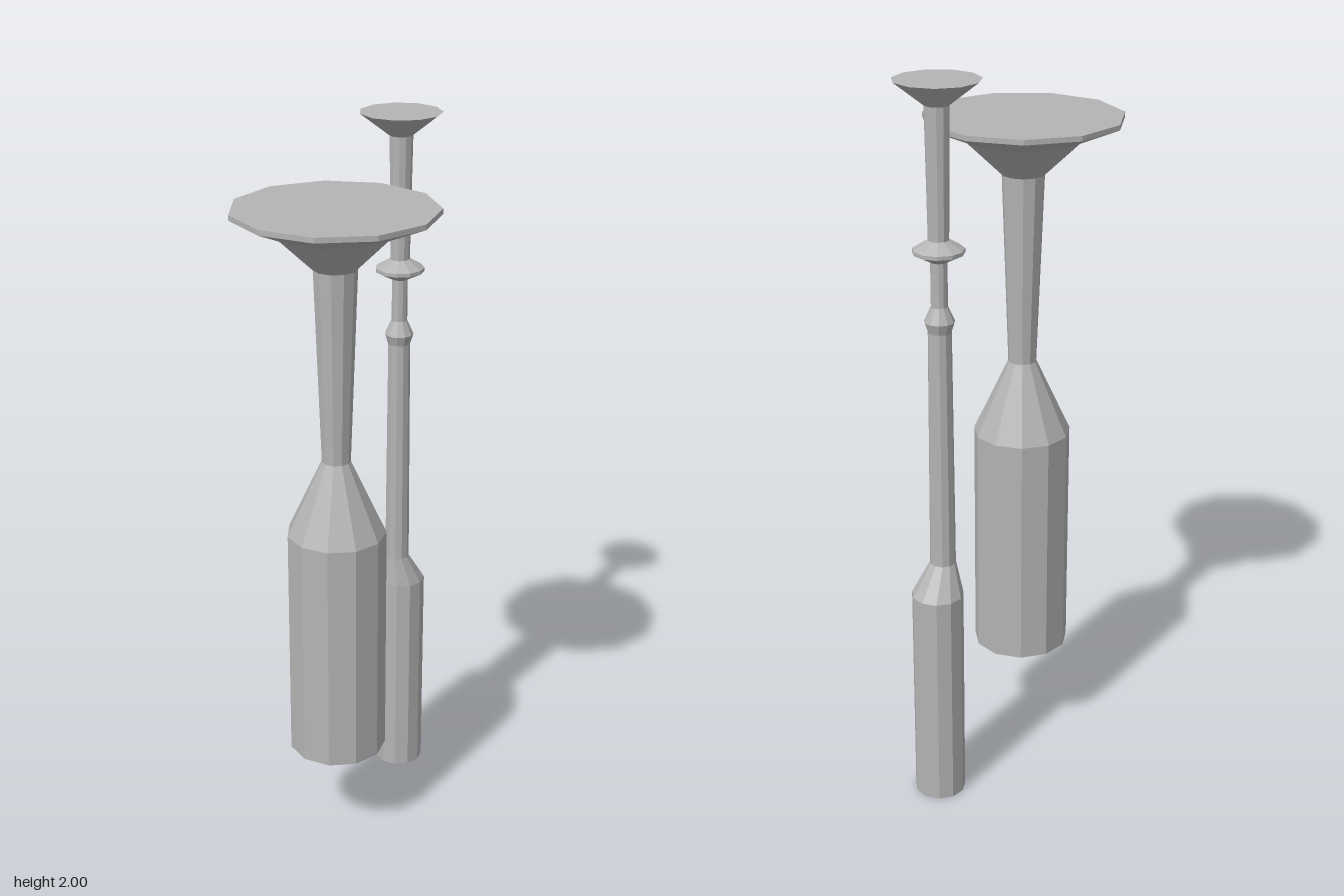
import * as THREE from 'three';

const SIDES = 11;

// Stacked rings, each [radius, height, z centre], closed at both ends.
function turned(name, rings, material) {
  const first = rings[0], last = rings[rings.length - 1];
  const all = [[0, first[1], first[2]], ...rings, [0, last[1], last[2]]];
  const geo = new THREE.LatheGeometry(
    all.map(([r, y]) => new THREE.Vector2(r, y)), SIDES, Math.PI);
  // Slide every ring to its own centre; lathe vertices run along the profile.
  const pos = geo.attributes.position;
  for (let i = 0; i < pos.count; i++) pos.setZ(i, pos.getZ(i) + all[i % all.length][2]);
  const flat = geo.toNonIndexed();
  flat.computeVertexNormals();
  const mesh = new THREE.Mesh(flat, material);
  mesh.name = name;
  return mesh;
}

export function createModel() {
  const model = new THREE.Group();
  model.name = 'stacks';
  const grey = new THREE.MeshStandardMaterial({ color: 0xb4b4b4, flatShading: true });
  grey.name = 'grey';

  // Large front stack: barrel, tapered shoulder, flaring neck, wide dish
  const zf = 0.123;
  model.add(turned('largeStack', [
    [0.135, 0.285, zf], [0.135, 0.945, zf],
    [0.039, 1.153, zf], [0.058, 1.68, zf],
    [0.16, 1.777, zf], [0.269, 1.823, zf], [0.269, 1.837, zf],
  ], grey));

  // Slim rear stack: offset base, pipe, collar, disc and funnel
  const zr = -0.268;
  model.add(turned('slimStack', [
    [0.07, 0, -0.295], [0.07, 0.615, -0.295],
    [0.035, 0.7, zr], [0.031, 1.357, zr],
    [0.04, 1.385, zr], [0.022, 1.425, zr],
    [0.022, 1.543, zr], [0.067, 1.566, zr],
    [0.067, 1.576, zr], [0.027, 1.6, zr],
    [0.032, 1.938, zr], [0.112, 2, zr + 0.002],
  ], grey));

  return model;
}
